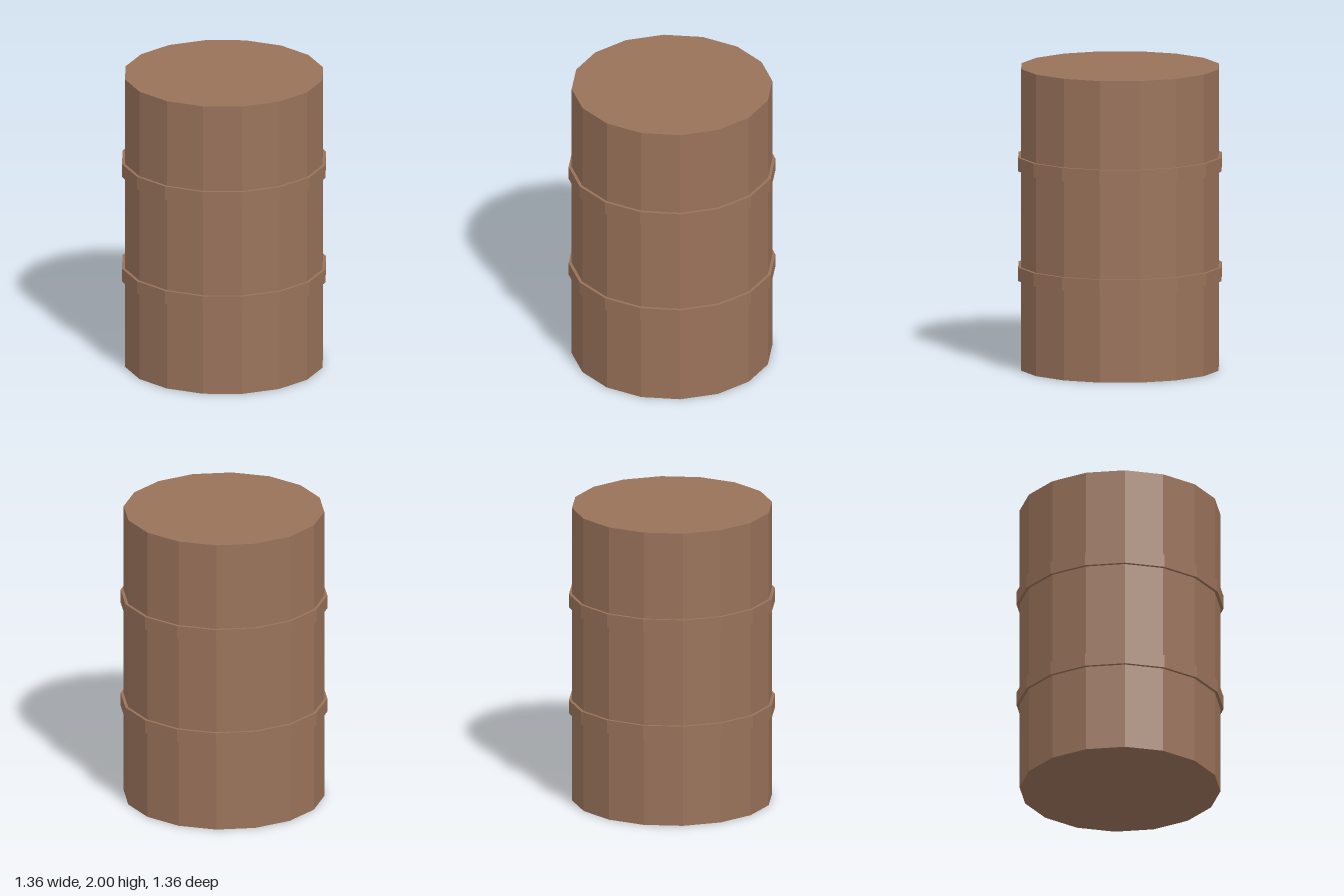
import * as THREE from 'three';

const SIDES = 16;
const BODY_RADIUS = 0.66;
const HOOP_RADIUS = 0.68;
const HOOP_HEIGHT = 0.09;

// Faceted copy, so every side keeps a hard edge
function faceted(geometry) {
  const flat = geometry.toNonIndexed();
  flat.computeVertexNormals();
  return flat;
}

export function createModel() {
  const barrel = new THREE.Group();
  barrel.name = 'barrel';

  const brown = new THREE.MeshStandardMaterial({ color: 0x99725a });
  brown.name = 'brown';

  // Drum body with closed lid and base
  const body = new THREE.Mesh(
    faceted(new THREE.CylinderGeometry(BODY_RADIUS, BODY_RADIUS, 2, SIDES)), brown);
  body.name = 'body';
  body.position.y = 1;
  barrel.add(body);

  // Raised hoops: a square band turned around the body
  const h = HOOP_HEIGHT / 2;
  const band = [
    new THREE.Vector2(BODY_RADIUS, -h),
    new THREE.Vector2(HOOP_RADIUS, -h),
    new THREE.Vector2(HOOP_RADIUS, h),
    new THREE.Vector2(BODY_RADIUS, h),
  ];
  const hoopGeometry = faceted(new THREE.LatheGeometry(band, SIDES));
  for (const [name, y] of [['lowerHoop', 0.64], ['upperHoop', 1.367]]) {
    const hoop = new THREE.Mesh(hoopGeometry, brown);
    hoop.name = name;
    hoop.position.y = y;
    barrel.add(hoop);
  }

  return barrel;
}
